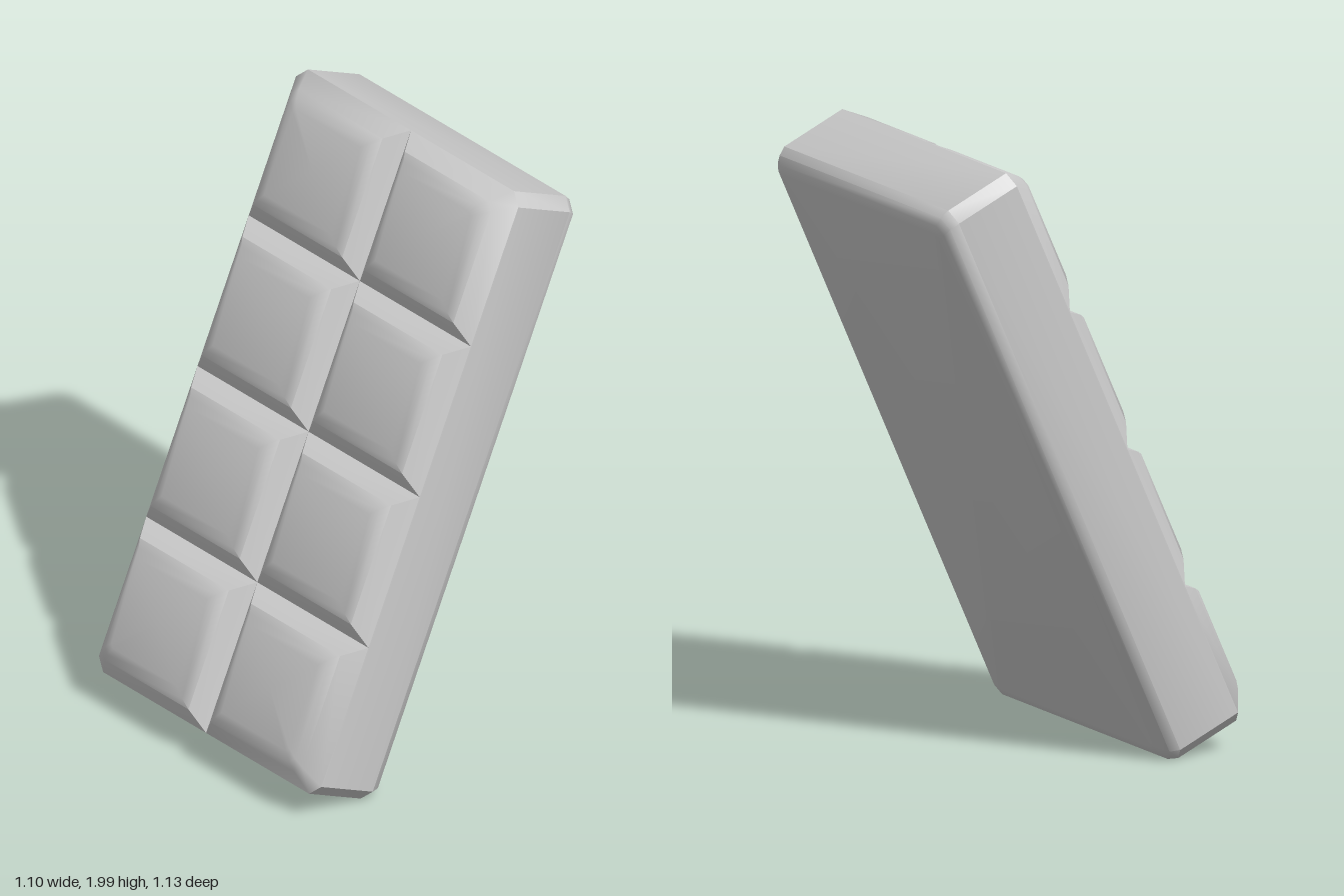
import * as THREE from 'three';
import { toCreasedNormals } from 'three/addons/utils/BufferGeometryUtils.js';

const HALF_W = 0.55, HALF_L = 1.04, ROWS = 4, COLS = 2, CHAMFER = 0.04;
const TILT = THREE.MathUtils.degToRad(24.2);

// Counter-clockwise rectangle; cut = chamfer at [right-top, left-top, left-bottom, right-bottom]
function ring(w, l, z, cut) {
  const signs = [[1, 1], [-1, 1], [-1, -1], [1, -1]];
  const points = [];
  signs.forEach(([sx, sy], i) => {
    const c = cut[i];
    if (!c) { points.push([sx * w, sy * l, z]); return; }
    const onSide = [sx * w, sy * (l - c), z], onEnd = [sx * (w - c), sy * l, z];
    points.push(...(sx * sy > 0 ? [onSide, onEnd] : [onEnd, onSide]));
  });
  return points;
}

// Skin between successive rings (back to front), with optional flat caps
function loft(rings, capBack, capFront, creaseDegrees) {
  const pos = [];
  const tri = (a, b, c) => pos.push(...a, ...b, ...c);
  const n = rings[0].length;
  for (let r = 0; r < rings.length - 1; r++) {
    for (let i = 0; i < n; i++) {
      const j = (i + 1) % n, lo = rings[r], hi = rings[r + 1];
      tri(lo[i], lo[j], hi[j]);
      tri(lo[i], hi[j], hi[i]);
    }
  }
  const first = rings[0], last = rings[rings.length - 1];
  for (let i = 0; i < n; i++) {
    const j = (i + 1) % n;
    if (capBack) tri([0, 0, first[0][2]], first[j], first[i]);
    if (capFront) tri([0, 0, last[0][2]], last[i], last[j]);
  }
  const geo = new THREE.BufferGeometry();
  geo.setAttribute('position', new THREE.Float32BufferAttribute(pos, 3));
  return toCreasedNormals(geo, THREE.MathUtils.degToRad(creaseDegrees));
}

export function createModel() {
  const model = new THREE.Group();
  model.name = 'segmentedBar';
  const material = new THREE.MeshStandardMaterial({ color: 0xcccccc });

  // Leaning assembly: local y runs along the bar, local z out of its front
  const bar = new THREE.Group();
  bar.name = 'leaningBar';
  bar.rotation.x = -TILT;
  bar.position.set(0, 1.048, 0.107);
  model.add(bar);

  // Slab with chamfered corners and a softened back edge: [inset, z]
  const slabProfile = [[0.065, -0.293], [0.035, -0.285], [0.013, -0.266], [0, -0.235], [0, 0]];
  const slabRings = slabProfile.map(([inset, z]) =>
    ring(HALF_W - inset, HALF_L - inset, z, Array(4).fill(CHAMFER - inset * 0.3)));
  const slab = new THREE.Mesh(loft(slabRings, true, false, 42), material);
  slab.name = 'slab';
  bar.add(slab);

  // Raised segments, mitred towards the grooves: [inset, height]
  const tileProfile = [[0, 0], [0.055, 0.055], [0.08, 0.072], [0.11, 0.081]];
  const tileW = HALF_W / COLS, tileL = HALF_L / ROWS;
  for (let row = 0; row < ROWS; row++) {
    for (let col = 0; col < COLS; col++) {
      const right = col === COLS - 1, left = col === 0;
      const top = row === ROWS - 1, bottom = row === 0;
      // Only the outer corners of the bar are cut
      const corners = [right && top, left && top, left && bottom, right && bottom];
      const rings = tileProfile.map(([inset, z]) =>
        ring(tileW - inset, tileL - inset, z, corners.map(c => (c ? CHAMFER - inset * 0.25 : 0))));
      const tile = new THREE.Mesh(loft(rings, false, true, 48), material);
      tile.name = `segment_${row + 1}_${col + 1}`;
      tile.position.set((2 * col + 1) * tileW - HALF_W, (2 * row + 1) * tileL - HALF_L, 0);
      bar.add(tile);
    }
  }
  return model;
}
